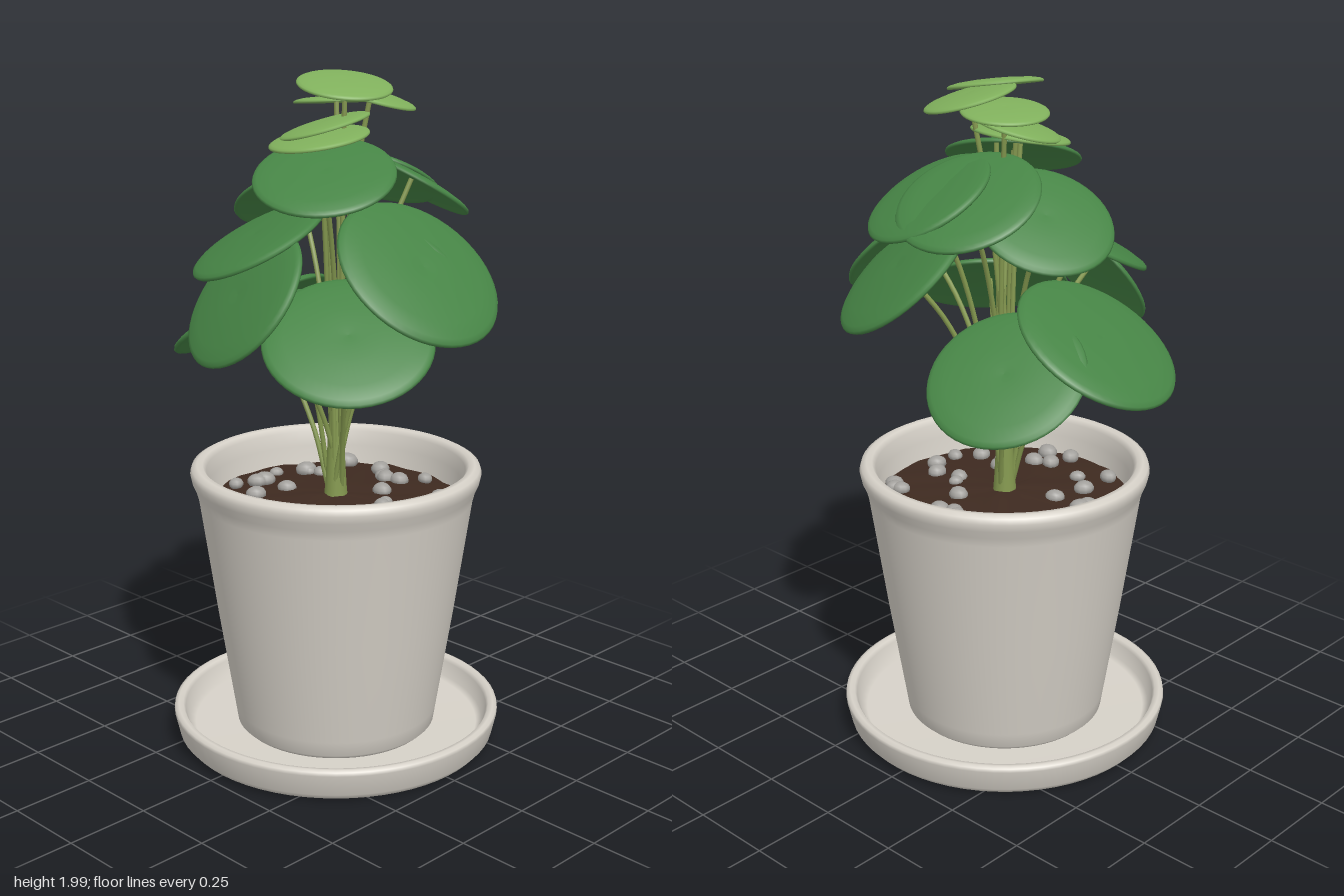
import * as THREE from 'three';

const mat = (name, color) => {
  const m = new THREE.MeshStandardMaterial({ color });
  m.name = name;
  return m;
};
const ceramic = mat('ceramic', 0xd6d1c8);
const soilBrown = mat('soil brown', 0x3e2a20);
const pebbleGrey = mat('pebble grey', 0xa3a19d);
const leafGreen = mat('leaf green', 0x468445);
const youngGreen = mat('young leaf green', 0x80b05c);
const stemGreen = mat('stem green', 0x84984f);

const CX = 0.013; // pot axis

function add(parent, name, geometry, material, x = 0, y = 0, z = 0) {
  const m = new THREE.Mesh(geometry, material);
  m.name = name;
  m.position.set(x, y, z);
  parent.add(m);
  return m;
}

const lathe = (pts, seg = 64) =>
  new THREE.LatheGeometry(pts.map(p => new THREE.Vector2(p[0], p[1])), seg);

function seeded(seed) {
  return () => (seed = (seed * 16807) % 2147483647) / 2147483647;
}

// Thin, softly domed round blade of unit radius, both faces
const blade = lathe([
  [0, 0.015], [0.4, 0.0], [0.75, -0.035], [0.93, -0.085], [0.985, -0.095],
  [1, -0.07], [0.985, -0.04], [0.93, -0.012], [0.75, 0.025], [0.4, 0.052],
  [0.15, 0.058], [0, 0.05],
], 48);

// centre x, y, z, radius, and the direction the blade faces (x, y, z)
const youngLeaves = [
  [0.058, 1.97, 0.01, 0.135, 0.2, 1, 0.08],
  [0.09, 1.937, -0.06, 0.133, 0.2, 1, -0.18],
  [-0.04, 1.915, -0.055, 0.123, -0.1, 1, -0.06],
  [0.0, 1.855, 0.035, 0.132, -0.2, 1, 0.2],
  [0.02, 1.825, 0.075, 0.143, -0.05, 1, 0.17],
];
const matureLeaves = [
  [0.125, 1.742, 0.158, 0.198, 0.26, 1, 0.37],
  [-0.04, 1.695, -0.205, 0.205, -0.12, 1, -0.54],
  [0.1, 1.685, -0.22, 0.192, 0.2, 1, -0.56],
  [-0.18, 1.635, -0.045, 0.2, -0.6, 1, -0.25],
  [-0.12, 1.54, 0.185, 0.21, -0.25, 1, 0.45],
  [-0.035, 1.402, 0.325, 0.22, -0.3, 1, 1.3],
  [0.333, 1.48, -0.012, 0.252, 0.93, 1, 0.05],
  [0.165, 1.475, -0.265, 0.235, 0.45, 1, -0.75],
  [0.27, 1.315, 0.21, 0.237, 0.47, 1, 0.47],
  [-0.292, 1.285, 0.065, 0.252, -0.64, 1, 0.1],
  [-0.19, 1.225, -0.215, 0.228, -0.25, 1, -0.7],
];

// Blade on an arching leaf stalk
function addLeaf(parent, spec, material, i) {
  const [x, y, z, r, nx, ny, nz] = spec;
  const leaf = new THREE.Group();
  leaf.name = 'leaf';
  const n = new THREE.Vector3(nx, ny, nz).normalize();
  const b = add(leaf, 'leafBlade', blade, material, x, y, z);
  b.scale.setScalar(r);
  b.quaternion.setFromUnitVectors(new THREE.Vector3(0, 1, 0), n);

  const a = i * 2.4;
  const start = new THREE.Vector3(CX + 0.02 * Math.cos(a), 0.77, 0.02 * Math.sin(a));
  const end = new THREE.Vector3(x, y, z);
  const mid = (t, spread) => new THREE.Vector3(
    start.x + (x - start.x) * spread,
    start.y + (y - start.y) * t,
    start.z + (z - start.z) * spread);
  const curve = new THREE.CatmullRomCurve3(
    [start, mid(0.38, 0.2), mid(0.75, 0.56), end]);
  add(leaf, 'leafStalk', new THREE.TubeGeometry(curve, 20, 0.0075, 7), stemGreen);
  parent.add(leaf);
}

export function createModel() {
  const model = new THREE.Group();
  model.name = 'pottedPlant';

  // Saucer with raised rim
  add(model, 'saucer', lathe([
    [0, 0], [0.43, 0], [0.462, 0.006], [0.479, 0.025], [0.494, 0.09], [0.492, 0.101],
    [0.481, 0.106], [0.467, 0.103], [0.46, 0.092], [0.448, 0.048], [0.43, 0.04], [0, 0.04],
  ]), ceramic, CX);

  // Tapered pot with rounded lip and hollow inside
  add(model, 'pot', lathe([
    [0, 0.041], [0.285, 0.041], [0.3, 0.055], [0.307, 0.1], [0.354, 0.4], [0.406, 0.76],
    [0.414, 0.79], [0.425, 0.815], [0.43, 0.838], [0.425, 0.854], [0.41, 0.862], [0.393, 0.86],
    [0.382, 0.845], [0.376, 0.8], [0.366, 0.72], [0.35, 0.65],
  ]), ceramic, CX);

  // Slightly mounded, uneven soil
  const soil = lathe([[0.373, 0.745], [0.28, 0.752], [0.18, 0.756], [0.09, 0.762], [0, 0.766]], 40);
  const p = soil.attributes.position;
  for (let i = 0; i < p.count; i++) {
    const x = p.getX(i), z = p.getZ(i);
    p.setY(i, p.getY(i) + 0.005 * Math.sin(x * 41) * Math.cos(z * 37));
  }
  soil.computeVertexNormals();
  add(model, 'soil', soil, soilBrown, CX);

  // Scattered, half-buried pebbles
  const rnd = seeded(4711);
  const pebbles = new THREE.Group();
  pebbles.name = 'pebbles';
  const stone = new THREE.SphereGeometry(1, 10, 7);
  for (let i = 0; i < 34; i++) {
    const a = i * 2.39996 + rnd() * 0.5;
    const d = 0.1 + 0.235 * Math.sqrt(rnd());
    const s = 0.018 + 0.014 * rnd();
    const m = add(pebbles, 'pebble', stone, pebbleGrey,
      CX + d * Math.cos(a), 0.756 + s * 0.2, d * Math.sin(a));
    m.scale.set(s * 1.15, s * 0.8, s);
    m.rotation.y = rnd() * 6.28;
  }
  model.add(pebbles);

  // Short central stem
  add(model, 'centralStem', lathe([
    [0.036, 0.745], [0.032, 0.79], [0.028, 0.86], [0.02, 1.0], [0.012, 1.2], [0, 1.4],
  ], 16), stemGreen, CX);

  // Foliage
  const foliage = new THREE.Group();
  foliage.name = 'foliage';
  youngLeaves.forEach((s, i) => addLeaf(foliage, s, youngGreen, i));
  matureLeaves.forEach((s, i) => addLeaf(foliage, s, leafGreen, i + youngLeaves.length));
  model.add(foliage);

  return model;
}
